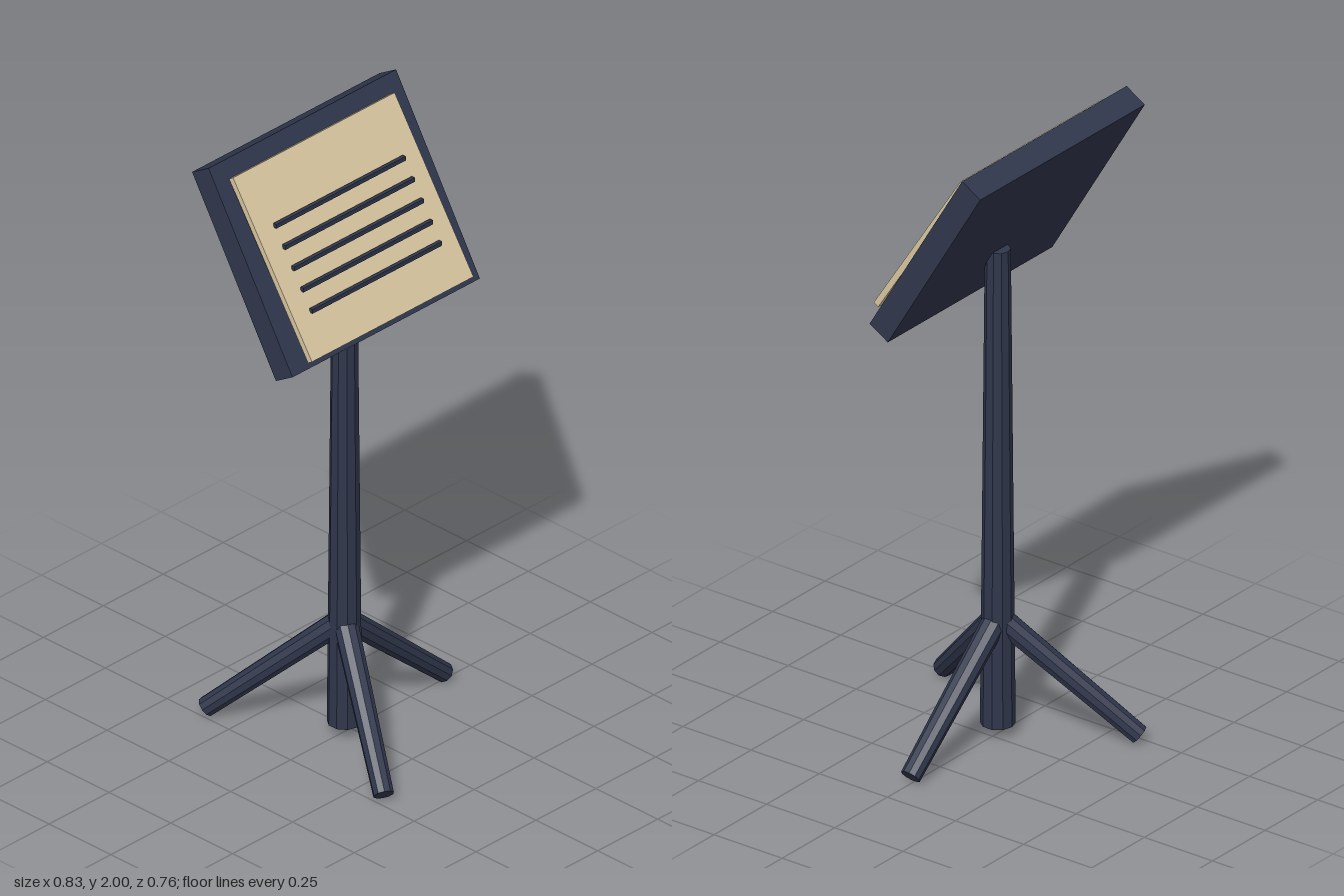
import * as THREE from 'three';

const CX = -0.025; // post axis

export function createModel() {
  const model = new THREE.Group();
  model.name = 'musicStand';

  const navy = new THREE.MeshStandardMaterial({ color: 0x30374c, flatShading: true });
  navy.name = 'navy metal';
  const cream = new THREE.MeshStandardMaterial({ color: 0xd8c6a0, flatShading: true });
  cream.name = 'cream paper';

  const add = (name, geometry, material, x, y, z, tilt = 0) => {
    const mesh = new THREE.Mesh(geometry, material);
    mesh.name = name;
    mesh.position.set(x, y, z);
    mesh.rotation.x = -tilt;
    model.add(mesh);
    return mesh;
  };

  // Tapered post
  const bottom = 0.037, top = 1.577;
  add('post', new THREE.CylinderGeometry(0.038, 0.052, top - bottom, 10), navy, CX, (top + bottom) / 2, 0);

  // Three splayed legs, one pointing to +x
  const up = new THREE.Vector3(0, 1, 0);
  for (let i = 0; i < 3; i++) {
    const a = (i * Math.PI * 2) / 3;
    const at = (r, y) => new THREE.Vector3(CX + r * Math.cos(a), y, r * Math.sin(a));
    const foot = at(0.415, 0.025), hub = at(0.02, 0.366);
    const mid = foot.clone().add(hub).multiplyScalar(0.5);
    const axis = hub.clone().sub(foot);
    const leg = add('leg' + (i + 1), new THREE.CylinderGeometry(0.037, 0.031, axis.length(), 10), navy, mid.x, mid.y, mid.z);
    leg.quaternion.setFromUnitVectors(up, axis.normalize());
  }

  // Tilted desk and the sheet resting on it
  add('desk', new THREE.BoxGeometry(0.782, 0.66, 0.078), navy, CX, 1.698, -0.0345, 0.54);
  add('sheet', new THREE.BoxGeometry(0.674, 0.585, 0.019), cream, CX, 1.715, 0.0275, 0.577);

  // Five staff lines
  for (let i = 0; i < 5; i++) {
    add('staffLine' + (i + 1), new THREE.BoxGeometry(0.54, 0.014, 0.012), navy, CX, 1.817 - i * 0.0567, -0.02 + i * 0.0367);
  }

  return model;
}
